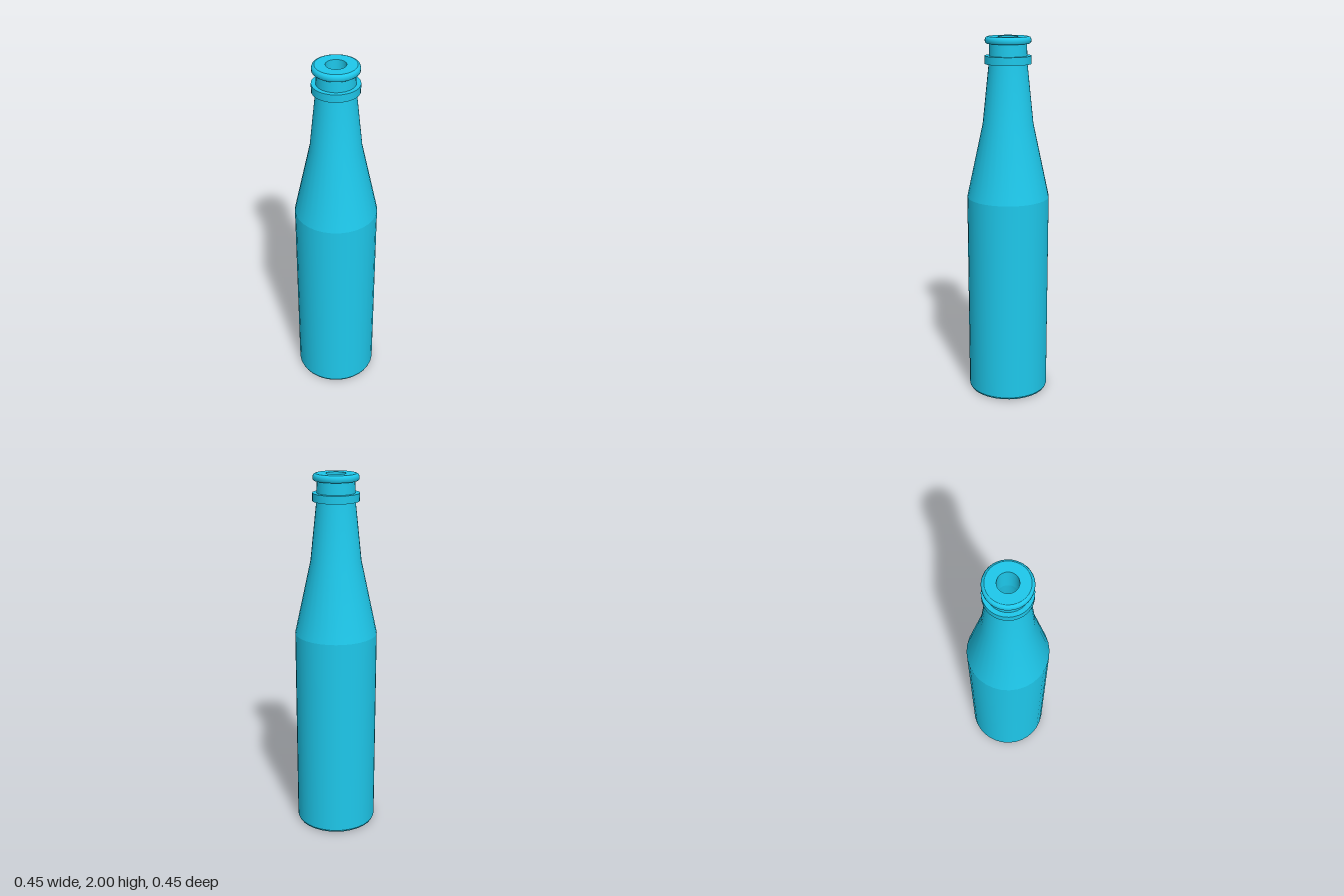
import * as THREE from 'three';
import { mergeGeometries } from 'three/addons/utils/BufferGeometryUtils.js';

const SIDES = 32;

// Revolves each profile as its own smooth band, so edges between bands stay sharp
function revolve(name, material, bands) {
  const parts = bands.map((band) =>
    new THREE.LatheGeometry(band.map(([r, y]) => new THREE.Vector2(r, y)), SIDES));
  const mesh = new THREE.Mesh(mergeGeometries(parts), material);
  mesh.name = name;
  return mesh;
}

export function createModel() {
  const bottle = new THREE.Group();
  bottle.name = 'bottle';
  const glass = new THREE.MeshStandardMaterial({ color: 0x1ec8eb });

  // Straight body with a flat base and a small rounded foot
  bottle.add(revolve('body', glass, [
    [[0, 0], [0.212, 0]],
    [[0.212, 0], [0.22, 0.004], [0.224, 0.014]],
    [[0.224, 0.014], [0.225, 1.135]],
  ]));

  // Sloping shoulder flowing into the tapered neck
  bottle.add(revolve('shoulderAndNeck', glass, [
    [[0.225, 1.135], [0.137, 1.54], [0.103, 1.86]],
    [[0.103, 1.86], [0.1, 1.965]],
  ]));

  // Square-edged collar below the mouth
  bottle.add(revolve('collar', glass, [
    [[0.1, 1.858], [0.125, 1.858]],
    [[0.125, 1.858], [0.125, 1.9]],
    [[0.125, 1.9], [0.1, 1.9]],
  ]));

  // Rounded lip with a flat top around the opening
  bottle.add(revolve('lip', glass, [
    [[0.1, 1.964], [0.116, 1.964]],
    [[0.116, 1.964], [0.122, 1.97], [0.123, 1.985], [0.118, 1.996], [0.108, 2]],
    [[0.108, 2], [0.053, 2]],
  ]));

  // Narrow bore opening into the hollow inside
  bottle.add(revolve('inside', glass, [
    [[0.053, 2], [0.053, 1.86]],
    [[0.053, 1.86], [0.09, 1.54], [0.18, 1.135]],
    [[0.18, 1.135], [0.18, 0.05]],
    [[0.18, 0.05], [0, 0.05]],
  ]));

  return bottle;
}
